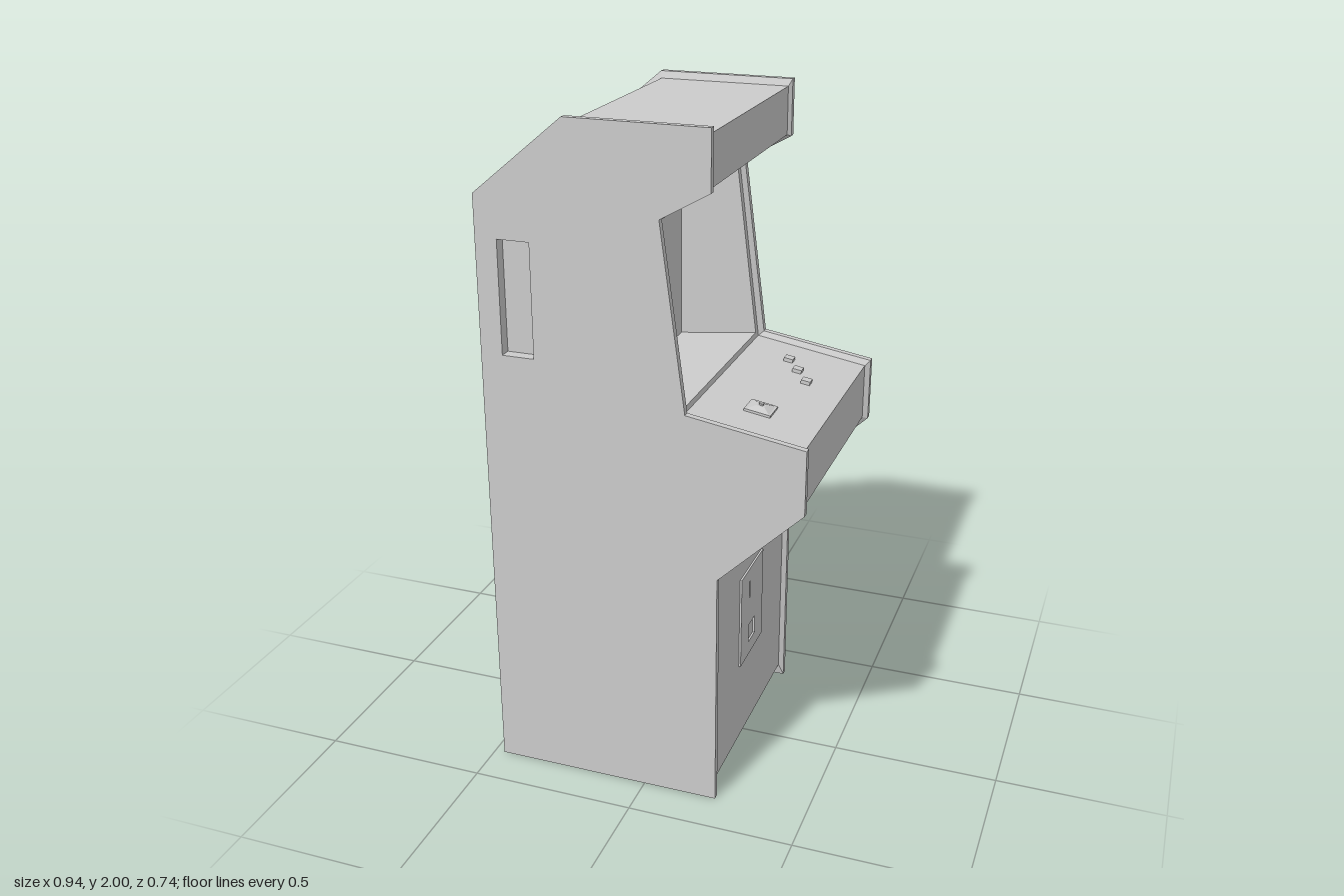
import * as THREE from 'three';

const material = new THREE.MeshStandardMaterial({ color: 0xcccccc, flatShading: true });

// Side outlines in x (depth) and y: the panels, and the cabinet set in between them
const PANEL = [[-0.47, 0], [0.225, 0], [0.225, 0.74], [0.47, 0.98], [0.47, 1.17], [0.13, 1.225],
  [0.06, 1.755], [0.2, 1.835], [0.2, 2], [-0.205, 2], [-0.47, 1.78]];
const BODY = [[-0.46, 0.04], [0.21, 0.04], [0.21, 0.755], [0.455, 0.985], [0.455, 1.155], [0.115, 1.212],
  [0.045, 1.765], [0.19, 1.84], [0.19, 1.98], [-0.2, 1.98], [-0.46, 1.77]];
// Screen opening cut into the cabinet outline
const RECESS = [[0.113, 1.228], [-0.13, 1.2], [-0.13, 1.725], [0.048, 1.742]];
const HANDLE = rect(-0.405, 1.33, -0.31, 1.66);

function rect(x0, y0, x1, y1) {
  return [[x0, y0], [x1, y0], [x1, y1], [x0, y1]];
}

const toPoints = (list) => list.map(([x, y]) => new THREE.Vector2(x, y));

// Extrude an outline from z0 to z1, with optional holes
function slab(outline, z0, z1, holes = []) {
  const shape = new THREE.Shape(toPoints(outline));
  holes.forEach((h) => shape.holes.push(new THREE.Path(toPoints(h))));
  const geo = new THREE.ExtrudeGeometry(shape, { depth: z1 - z0, bevelEnabled: false });
  return geo.translate(0, 0, z0);
}

// Sloped band joining two outlines of equal point count
function band(low, zLow, high, zHigh) {
  const pos = [];
  low.forEach((a, i) => {
    const j = (i + 1) % low.length;
    const a0 = [...a, zLow], a1 = [...low[j], zLow];
    const b0 = [...high[i], zHigh], b1 = [...high[j], zHigh];
    pos.push(...a0, ...a1, ...b1, ...a0, ...b1, ...b0);
  });
  const geo = new THREE.BufferGeometry();
  geo.setAttribute('position', new THREE.Float32BufferAttribute(pos, 3));
  geo.computeVertexNormals();
  return geo;
}

function add(parent, name, geo) {
  const mesh = new THREE.Mesh(geo, material);
  mesh.name = name;
  parent.add(mesh);
  return mesh;
}

function group(parent, name) {
  const g = new THREE.Group();
  g.name = name;
  parent.add(g);
  return g;
}

// Four-sided tapered block standing on y = 0
function frustum(bottom, top, height) {
  return new THREE.CylinderGeometry(top / Math.SQRT2, bottom / Math.SQRT2, height, 4)
    .rotateY(Math.PI / 4).translate(0, height / 2, 0);
}

export function createModel() {
  const root = new THREE.Group();
  root.name = 'arcadeCabinet';

  // Cabinet core with the deep screen opening
  const core = [...BODY.slice(0, 6), ...RECESS, ...BODY.slice(6)];
  add(root, 'cabinetBody', slab(core, -0.32, 0.32));

  // Side panels: frame strip, chamfer, outer board and hand recess
  for (const s of [1, -1]) {
    const side = group(root, s > 0 ? 'rightSide' : 'leftSide');
    const span = (a, b) => (s > 0 ? [a, b] : [-b, -a]);
    add(side, 'screenFrameEdge', slab(BODY, ...span(0.32, 0.352), [HANDLE]));
    add(side, 'sidePanel', slab(PANEL, ...span(0.352, 0.372), [HANDLE]));
    add(side, 'panelChamfer', s > 0
      ? band(BODY, 0.342, PANEL, 0.352)
      : band(PANEL, -0.352, BODY, -0.342));
    add(side, 'handleRecessBack', slab(HANDLE, ...span(0.322, 0.337)));
  }

  // Coin door with a slot and a return opening
  const slot = rect(-0.03, 0.5, -0.02, 0.555);
  const coinReturn = rect(-0.03, 0.345, 0.03, 0.405);
  const door = slab(rect(-0.108, 0.3, 0.108, 0.6), 0, 0.006, [slot, coinReturn]);
  door.rotateY(Math.PI / 2).translate(0.21, 0, 0);
  add(root, 'coinDoor', door);

  // Controls lie on the sloping deck
  const deckAngle = Math.atan2(1.212 - 1.155, 0.115 - 0.455) - Math.PI;
  const deckY = (x) => 1.155 + (0.455 - x) * (1.212 - 1.155) / 0.34;
  const onDeck = (obj, x, z) => {
    obj.position.set(x, deckY(x), z);
    obj.rotation.z = deckAngle;
  };

  [[0.25, -0.219], [0.294, -0.158], [0.338, -0.095]].forEach(([x, z], i) => {
    const button = new THREE.BoxGeometry(0.028, 0.012, 0.028).translate(0, 0.005, 0);
    onDeck(add(root, `button${i + 1}`, button), x, z);
  });

  const stick = group(root, 'joystick');
  add(stick, 'joystickPlate', new THREE.BoxGeometry(0.078, 0.008, 0.074).translate(0, 0.003, 0));
  add(stick, 'joystickBoot', frustum(0.066, 0.024, 0.008).translate(0, 0.007, 0));
  add(stick, 'joystickTip', new THREE.CylinderGeometry(0.007, 0.007, 0.008, 8).translate(0, 0.017, 0));
  onDeck(stick, 0.28, 0.168);

  return root;
}
